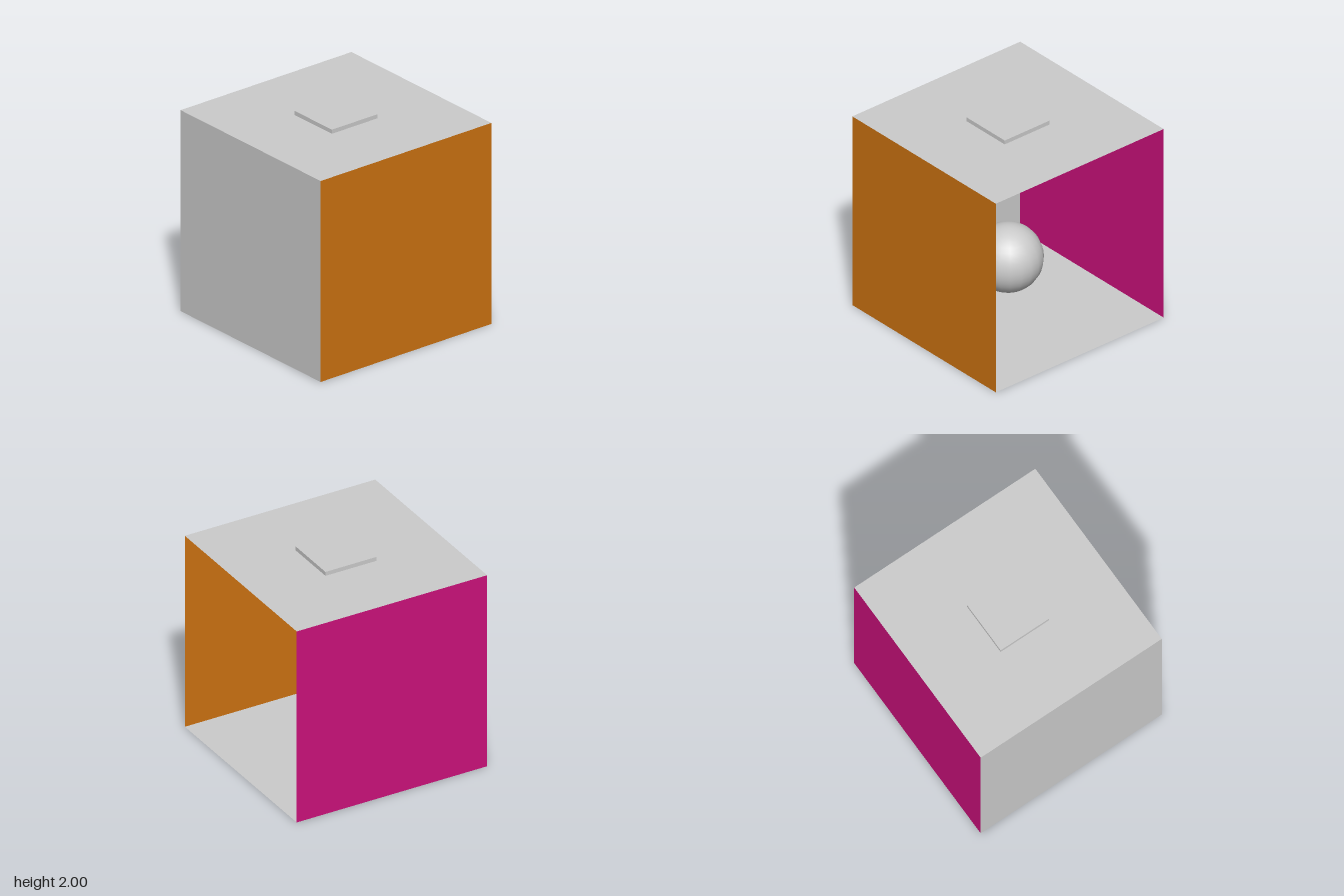
import * as THREE from 'three';

const SIZE = 1.96;
const HALF = SIZE / 2;

function material(color, side = THREE.FrontSide) {
  return new THREE.MeshStandardMaterial({ color, side });
}

export function createModel() {
  const room = new THREE.Group();
  room.name = 'room';

  function add(name, geometry, mat, position, rotation = [0, 0, 0]) {
    const mesh = new THREE.Mesh(geometry, mat);
    mesh.name = name;
    mesh.position.set(...position);
    mesh.rotation.set(...rotation);
    room.add(mesh);
  }

  // Thin square walls; the back (-z) stays open
  const square = new THREE.PlaneGeometry(SIZE, SIZE);
  const grey = material(0xcccccc, THREE.DoubleSide);
  const orange = material(0xcc7211, THREE.DoubleSide);
  const pink = material(0xcc117c, THREE.DoubleSide);
  const quarter = Math.PI / 2;
  add('floor', square, grey, [0, 0, 0], [-quarter, 0, 0]);
  add('ceiling', square, grey, [0, SIZE, 0], [-quarter, 0, 0]);
  add('frontWall', square, grey, [0, HALF, HALF]);
  add('leftWall', square, orange, [HALF, HALF, 0], [0, quarter, 0]);
  add('rightWall', square, pink, [-HALF, HALF, 0], [0, -quarter, 0]);

  // Lamp panel set halfway through the ceiling
  add('ceilingLamp', new THREE.BoxGeometry(0.525, 0.08, 0.525), material(0xcccccc), [0, SIZE, 0]);

  // Ball floating above the middle of the floor
  add('ball', new THREE.SphereGeometry(0.32, 20, 20), material(0xcccccc), [0, 0.565, 0]);

  return room;
}
